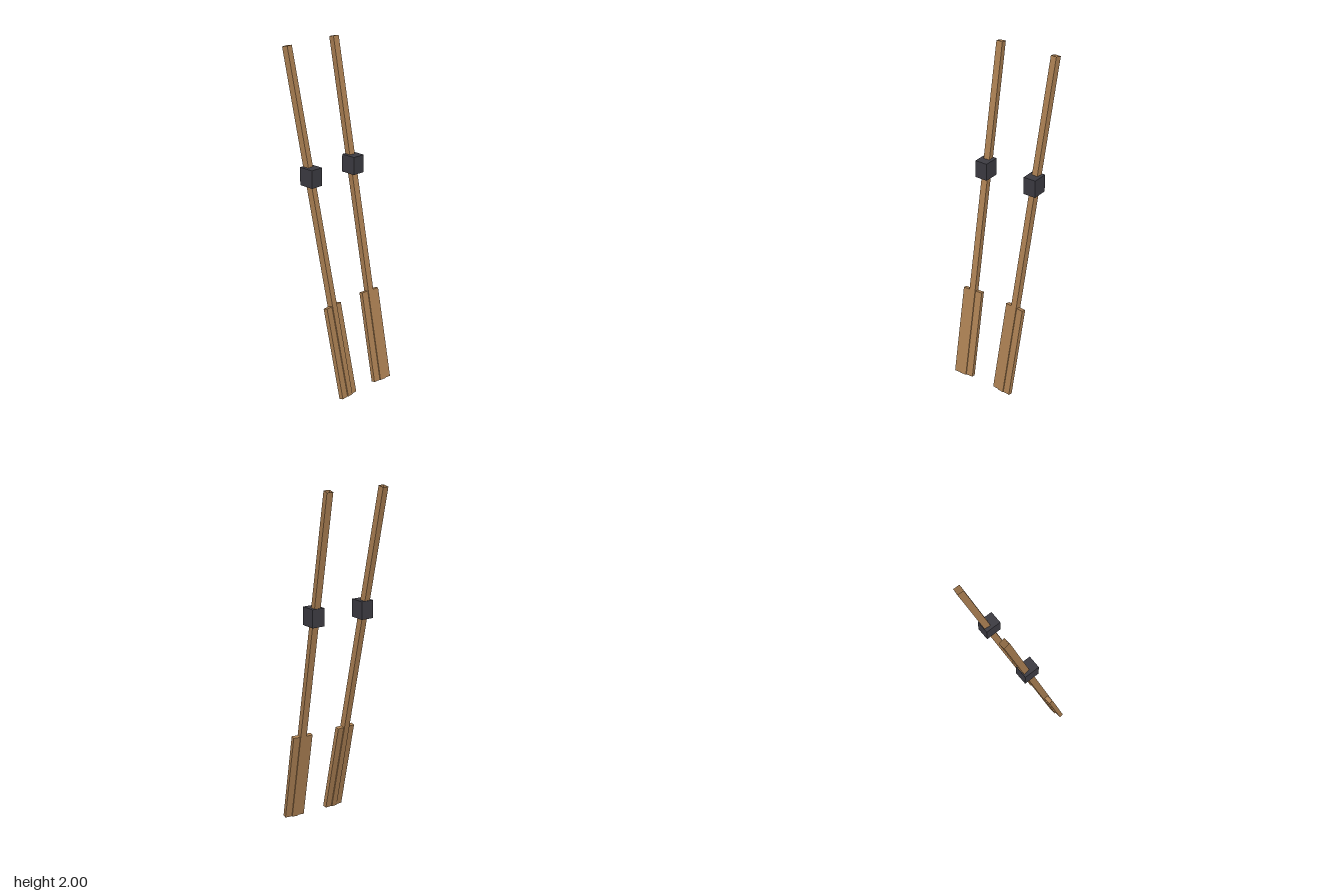
import * as THREE from 'three';

const wood = new THREE.MeshStandardMaterial({ color: 0xaa7f52, flatShading: true, side: THREE.DoubleSide });
wood.name = 'wood';
const darkGrip = new THREE.MeshStandardMaterial({ color: 0x3c3b42, flatShading: true });
darkGrip.name = 'darkGrip';

const deg = THREE.MathUtils.degToRad;
const LENGTH = 2.038, THICK = 0.038, BLADE = 0.548;

function addMesh(parent, name, geometry, material, x, y, z) {
  const mesh = new THREE.Mesh(geometry, material);
  mesh.name = name;
  mesh.position.set(x, y, z);
  parent.add(mesh);
  return mesh;
}

// One oar with its lock; side is +1 for the front oar and -1 for the back one
function createOar(side) {
  const unit = new THREE.Group();
  unit.name = side > 0 ? 'frontOarUnit' : 'backOarUnit';

  // Leaning oar, pivoting about its middle
  const oar = new THREE.Group();
  oar.name = 'oar';
  oar.position.set(0, 1, side * 0.161);
  oar.rotation.set(0, side * deg(5.4), deg(12.2));
  unit.add(oar);

  // Square shaft, open at its ends
  const shaft = new THREE.CylinderGeometry(THICK / Math.SQRT2, THICK / Math.SQRT2, LENGTH, 4, 1, true);
  shaft.rotateY(Math.PI / 4);
  addMesh(oar, 'shaft', shaft, wood, 0, 0, 0);

  // Flat blade, flush with the lower end; the shaft stands proud as a ridge
  addMesh(oar, 'blade', new THREE.BoxGeometry(0.026, BLADE, 0.123), wood, 0, (BLADE - LENGTH) / 2, 0);

  // Upright block around the shaft
  addMesh(unit, 'oarlock', new THREE.BoxGeometry(0.094, 0.105, 0.078), darkGrip, -0.049, 1.283, side * 0.167);
  return unit;
}

export function createModel() {
  const model = new THREE.Group();
  model.name = 'pairOfOars';
  for (const side of [1, -1]) model.add(createOar(side));
  return model;
}
